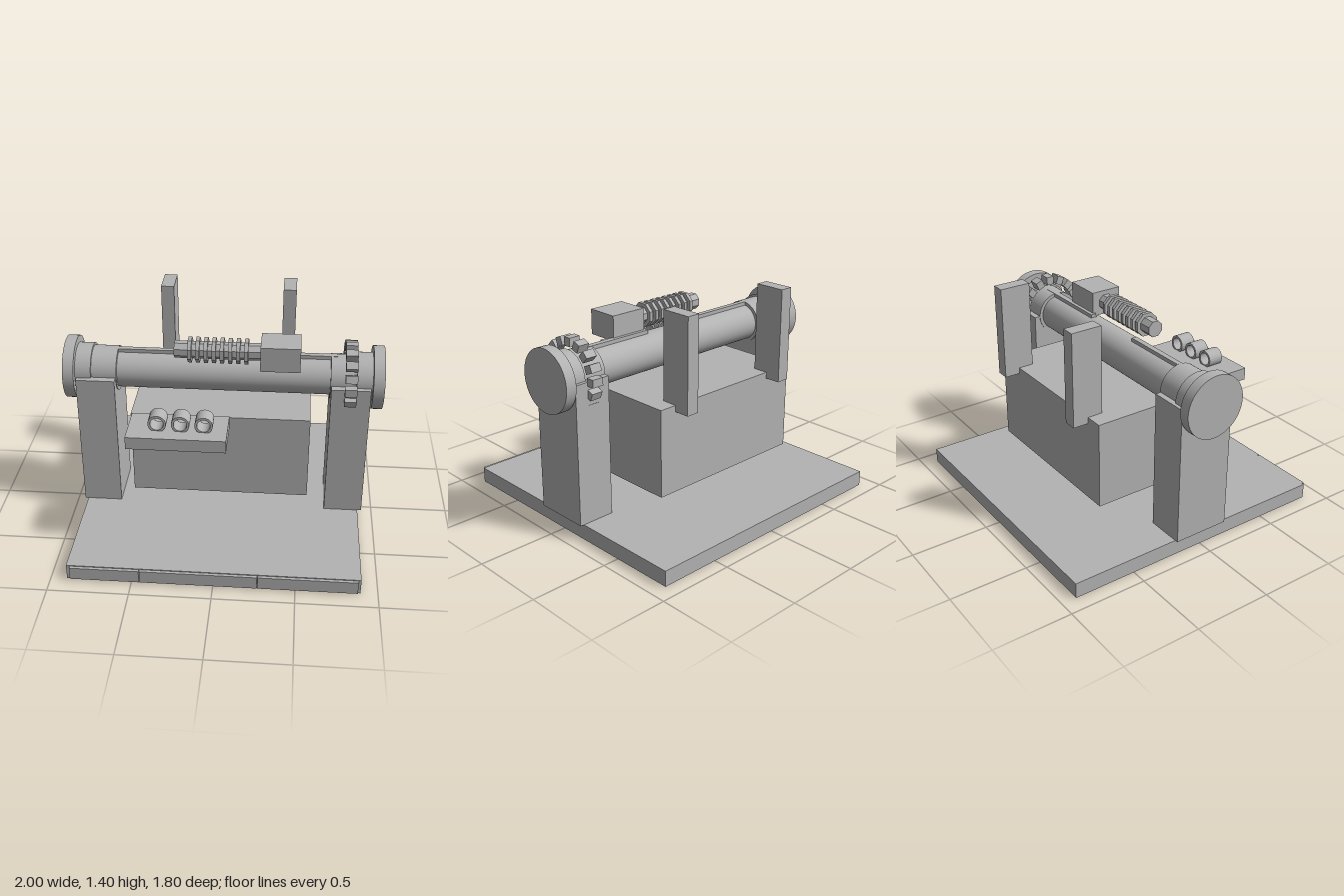
import * as THREE from 'three';

export function createModel() {
  const model = new THREE.Group();
  model.name = 'rollerMachine';
  const grey = new THREE.MeshStandardMaterial({ color: 0xb3b3b3 });
  grey.name = 'plain grey';
  const greyFaceted = grey.clone();
  greyFaceted.name = 'plain grey faceted';
  greyFaceted.flatShading = true;

  const add = (name, geometry, material = grey) => {
    const mesh = new THREE.Mesh(geometry, material);
    mesh.name = name;
    model.add(mesh);
    return mesh;
  };
  // Box given by its limits on each axis
  const box = (name, [x0, x1], [y0, y1], [z0, z1]) => {
    const mesh = add(name, new THREE.BoxGeometry(x1 - x0, y1 - y0, z1 - z0));
    mesh.position.set((x0 + x1) / 2, (y0 + y1) / 2, (z0 + z1) / 2);
    return mesh;
  };
  // Cylinder lying along x
  const rod = (name, x0, x1, y, z, r, sides = 48, material = grey) => {
    const geometry = new THREE.CylinderGeometry(r, r, x1 - x0, sides);
    geometry.rotateY(Math.PI / sides).rotateZ(Math.PI / 2);
    const mesh = add(name, geometry, material);
    mesh.position.set((x0 + x1) / 2, y, z);
    return mesh;
  };
  const axisY = 1.0, axisZ = -0.015;

  // Base with three front trim plates
  box('base', [-0.9, 0.895], [0, 0.1], [-0.905, 0.88]);
  const seams = [-0.88, -0.45, 0.27, 0.88];
  for (let i = 0; i < 3; i++) {
    box('frontTrim', [seams[i] + 0.002, seams[i + 1] - 0.002], [0.012, 0.095], [0.88, 0.9]);
  }

  // Housing and rear uprights
  box('housing', [-0.56, 0.555], [0.28, 0.84], [-0.51, 0.285]);
  box('rearUprightRight', [-0.445, -0.36], [0.8, 1.4], [-0.61, -0.41]);
  box('rearUprightLeft', [0.355, 0.44], [0.8, 1.4], [-0.61, -0.41]);

  // Mirrored supports, collars and end discs
  for (const s of [-1, 1]) {
    const span = (a, b) => (s < 0 ? [-b, -a] : [a, b]);
    box('supportPost', span(0.675, 0.92), [0.1, 1], [-0.193, 0.175]);
    rod('innerCollar', ...span(0.67, 0.83), axisY, axisZ, 0.142);
    rod('outerCollar', ...span(0.83, 0.94), axisY, axisZ, 0.156);
    rod('endDisc', ...span(0.93, 1), axisY, axisZ, 0.2);
  }

  // Main roller in two halves, with guide strips along the top
  rod('rollerHalfRight', -0.7, 0, axisY, axisZ, 0.12);
  rod('rollerHalfLeft', 0, 0.7, axisY, axisZ, 0.12);
  box('guideStripRight', [-0.67, -0.22], [1.1, 1.142], [-0.035, 0]);
  box('guideStripLeft', [0.22, 0.76], [1.1, 1.142], [-0.038, 0]);

  // Ring of gear teeth
  for (let i = 0; i < 16; i++) {
    const a = (i / 16) * Math.PI * 2;
    const tooth = add('gearTooth', new THREE.BoxGeometry(0.075, 0.055, 0.05));
    tooth.position.set(0.795, axisY + 0.2 * Math.cos(a), axisZ + 0.2 * Math.sin(a));
    tooth.rotation.x = a;
  }

  // Worm screw and its motor
  rod('wormShaft', -0.3, 0.24, 1.2, 0.085, 0.054, 8, greyFaceted);
  for (let i = 0; i < 8; i++) {
    const x = -0.203 + i * 0.05;
    rod('wormThread', x - 0.012, x + 0.012, 1.2, 0.085, 0.08, 8, greyFaceted);
  }
  box('motor', [0.235, 0.48], [1.12, 1.28], [-0.015, 0.192]);

  // Front tray with three open rings
  box('tray', [-0.54, 0.06], [0.8, 0.88], [0.34, 0.625]);
  const ringShape = new THREE.Shape().absarc(0, 0, 0.055, 0, Math.PI * 2);
  ringShape.holes.push(new THREE.Path().absarc(0, 0, 0.04, 0, Math.PI * 2, true));
  for (const x of [-0.36, -0.22, -0.08]) {
    const ring = add('trayRing', new THREE.ExtrudeGeometry(ringShape, {
      depth: 0.1, bevelEnabled: false, curveSegments: 12,
    }), greyFaceted);
    ring.position.set(x, 0.925, 0.435);
  }
  return model;
}
